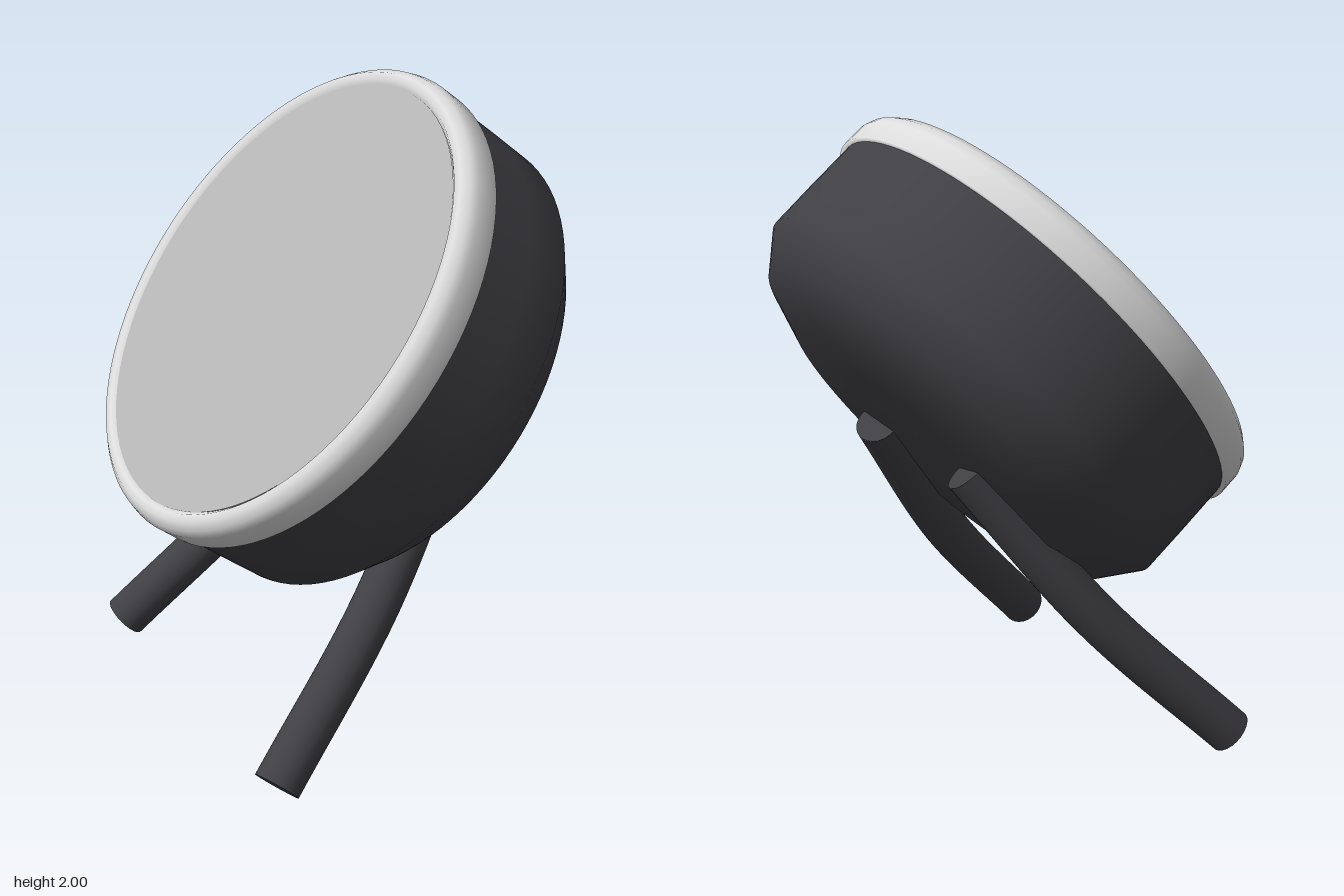
import * as THREE from 'three';

const mat = (name, color, side = THREE.FrontSide) => {
  const m = new THREE.MeshStandardMaterial({ color, side });
  m.name = name;
  return m;
};

const lathe = (name, points, material) => {
  const mesh = new THREE.Mesh(
    new THREE.LatheGeometry(points.map(([r, y]) => new THREE.Vector2(r, y)), 96), material);
  mesh.name = name;
  return mesh;
};

export function createModel() {
  const charcoal = mat('charcoal', 0x403f44);
  const rimWhite = mat('rim white', 0xdcdcdc, THREE.DoubleSide);
  const padGrey = mat('pad grey', 0xb4b4b4);
  const model = new THREE.Group();
  model.name = 'tiltedDrum';

  // Drum, turned around its own axis and then tipped over
  const drum = new THREE.Group();
  drum.name = 'drum';
  drum.position.set(0.603, 0.773, 0);
  drum.rotation.z = Math.asin(0.788);
  model.add(drum);

  // Bowl-shaped shell
  drum.add(lathe('shell', [
    [0, 0.382], [0.27, 0.383], [0.526, 0.385], [0.695, 0.45], [0.783, 0.564], [0.785, 0.72], [0.785, 0.93],
  ], charcoal));

  // Rounded hoop around the playing surface
  drum.add(lathe('hoop', [
    [0.775, 0.89], [0.8, 0.892], [0.8, 0.962], [0.79, 0.99], [0.768, 1.012], [0.745, 1.012], [0.73, 0.995],
  ], rimWhite));

  // Flat playing surface
  const head = new THREE.Mesh(new THREE.CircleGeometry(0.732, 96), padGrey);
  head.name = 'drumHead';
  head.rotation.x = -Math.PI / 2;
  head.position.y = 1.0;
  drum.add(head);

  // Two splayed, slightly bent legs with closed ends
  const radius = 0.075;
  for (const side of [1, -1]) {
    const leg = new THREE.Group();
    leg.name = side > 0 ? 'frontLeg' : 'backLeg';
    const curve = new THREE.CatmullRomCurve3([
      new THREE.Vector3(-0.482, 0.055, 0.6 * side),
      new THREE.Vector3(-0.06, 0.5, 0.443 * side),
      new THREE.Vector3(0.295, 0.995, 0.27 * side),
    ]);
    const tube = new THREE.Mesh(new THREE.TubeGeometry(curve, 20, radius, 24), charcoal);
    tube.name = 'legTube';
    leg.add(tube);
    for (const t of [0, 1]) {
      const cap = new THREE.Mesh(new THREE.CircleGeometry(radius, 24), charcoal);
      cap.name = t ? 'legTop' : 'foot';
      const outward = curve.getTangentAt(t).multiplyScalar(t ? 1 : -1);
      cap.position.copy(curve.getPointAt(t));
      cap.quaternion.setFromUnitVectors(new THREE.Vector3(0, 0, 1), outward);
      leg.add(cap);
    }
    model.add(leg);
  }
  return model;
}
